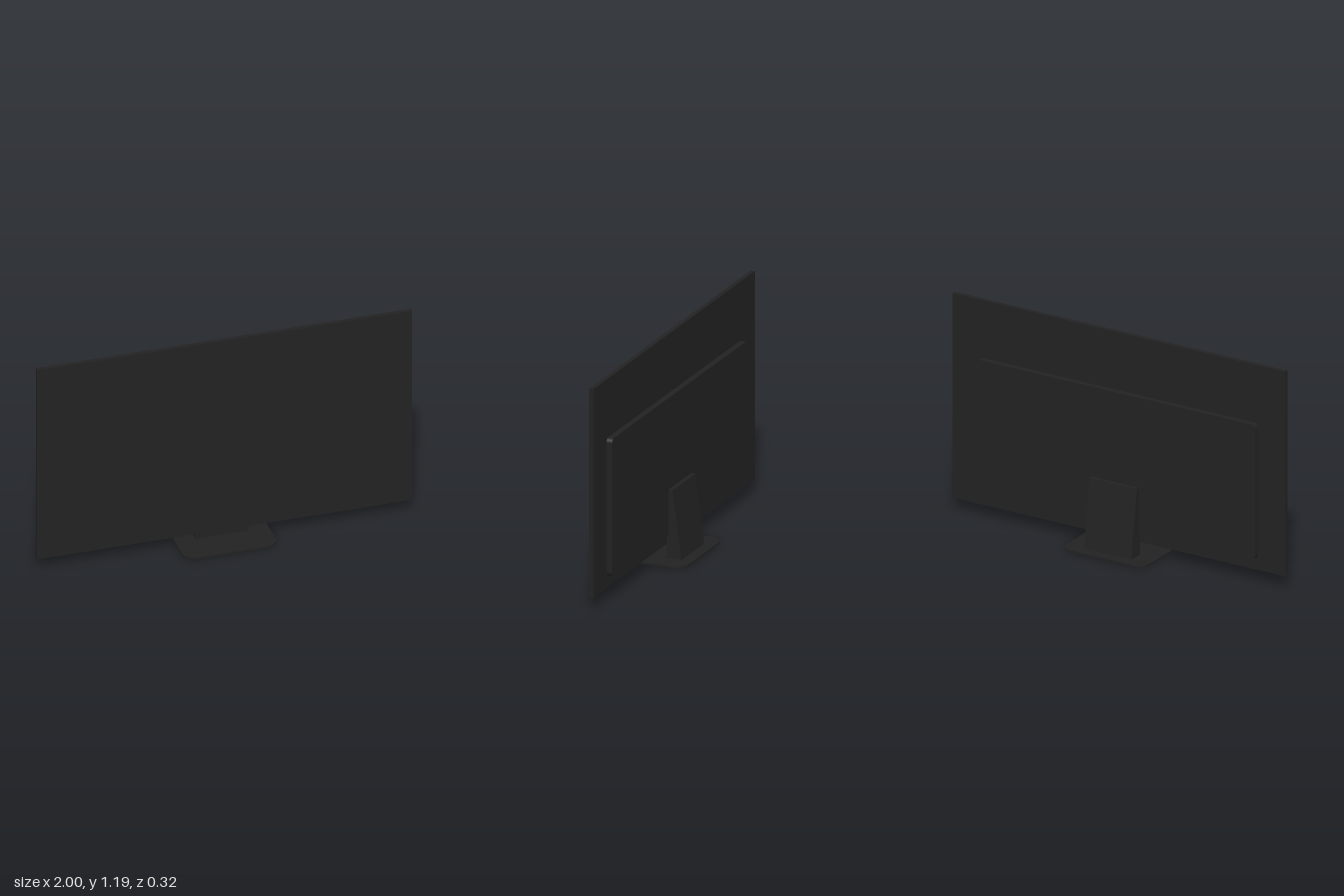
import * as THREE from 'three';

// Rectangle with rounded corners, centred on the origin
function roundedRect(w, h, r) {
  const s = new THREE.Shape();
  const x = w / 2, y = h / 2;
  s.absarc(x - r, y - r, r, 0, Math.PI / 2);
  s.absarc(-x + r, y - r, r, Math.PI / 2, Math.PI);
  s.absarc(-x + r, -y + r, r, Math.PI, Math.PI * 1.5);
  s.absarc(x - r, -y + r, r, Math.PI * 1.5, Math.PI * 2);
  s.closePath();
  return s;
}

function extrude(shape, depth, curveSegments = 8) {
  return new THREE.ExtrudeGeometry(shape, { depth, bevelEnabled: false, curveSegments });
}

export function createModel() {
  const group = new THREE.Group();
  const black = new THREE.MeshStandardMaterial({ color: 0x222222 });
  black.name = 'charcoal plastic';

  const add = (name, geometry, x = 0, y = 0, z = 0) => {
    const mesh = new THREE.Mesh(geometry, black);
    mesh.name = name;
    mesh.position.set(x, y, z);
    group.add(mesh);
    return mesh;
  };

  // Thin display panel
  add('screenPanel', new THREE.BoxGeometry(2, 1.126, 0.024), 0, 0.63, 0.017);

  // Raised rear housing with softened corners
  add('rearHousing', extrude(roundedRect(1.68, 0.745, 0.025), 0.033), 0, 0.5025, -0.027);

  // Wedge-shaped neck: side profile in (z, y), extruded across x
  const profile = new THREE.Shape([
    [-0.017, 0.005], [-0.017, 0.1], [-0.02, 0.1], [-0.02, 0.38],
    [-0.049, 0.38], [-0.1, 0.005],
  ].map(([z, y]) => new THREE.Vector2(-z, y)));
  const neck = extrude(profile, 0.284);
  neck.translate(0, 0, -0.142);
  neck.rotateY(Math.PI / 2);
  add('standNeck', neck);

  // Flat rounded foot
  const foot = extrude(roundedRect(0.5, 0.32, 0.065), 0.01);
  foot.rotateX(-Math.PI / 2);
  add('standFoot', foot);

  return group;
}
